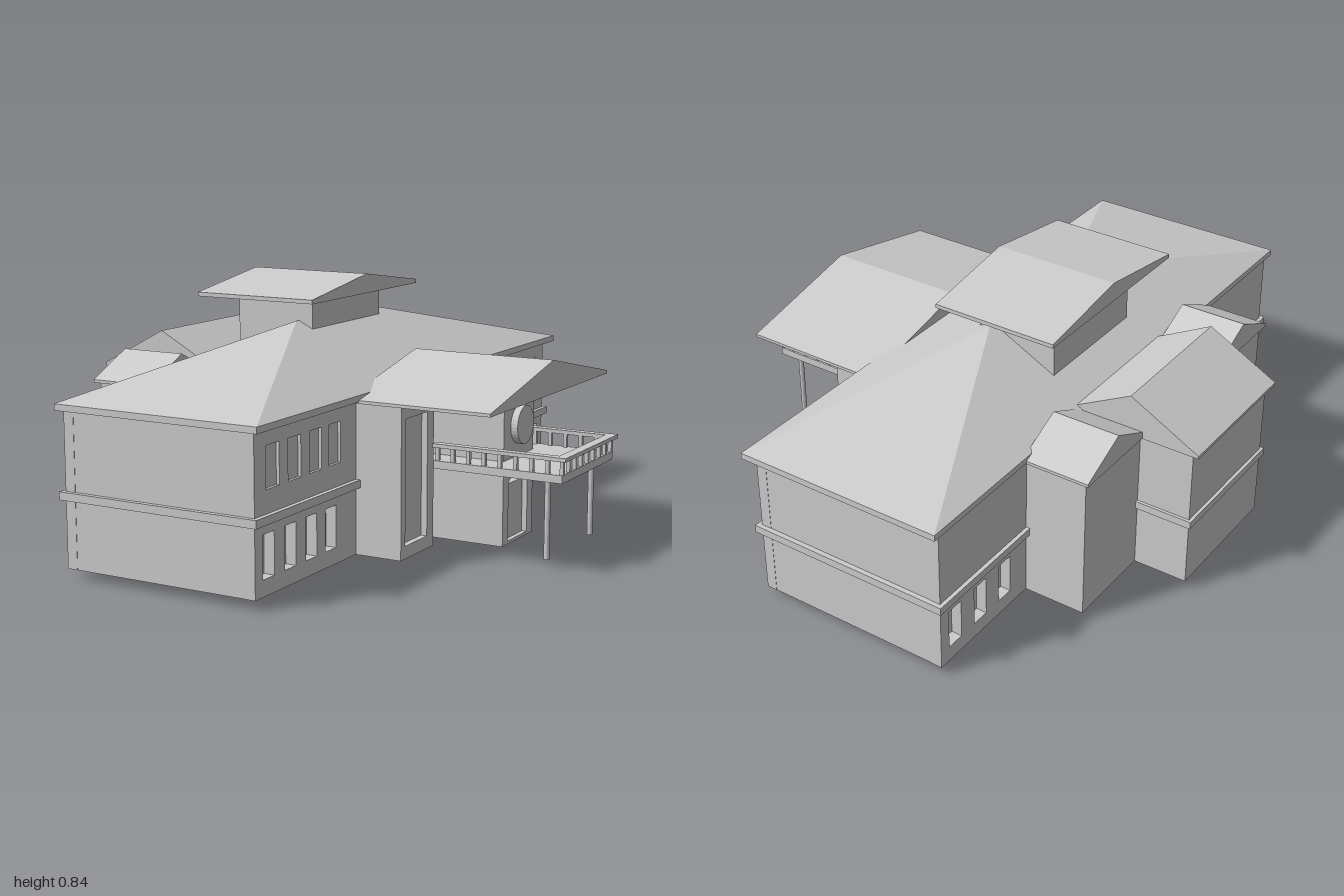
import * as THREE from 'three';
import { ConvexGeometry } from 'three/addons/geometries/ConvexGeometry.js';

const mat = new THREE.MeshStandardMaterial({ color: 0xcccccc, flatShading: true });

export function createModel() {
  const root = new THREE.Group();
  const add = (name, geo, parent = root) => {
    const m = new THREE.Mesh(geo, mat);
    m.name = name;
    parent.add(m);
    return m;
  };
  const group = (name) => {
    const g = new THREE.Group();
    g.name = name;
    root.add(g);
    return g;
  };
  // box given by its limits on each axis
  const box = (name, x0, x1, y0, y1, z0, z1, parent) => {
    const g = new THREE.BoxGeometry(x1 - x0, y1 - y0, z1 - z0);
    g.translate((x0 + x1) / 2, (y0 + y1) / 2, (z0 + z1) / 2);
    return add(name, g, parent);
  };
  // extrude a shape drawn in (-z, y) along x from x0 to x1
  const alongX = (name, shape, x0, x1, parent) => {
    const g = new THREE.ExtrudeGeometry(shape, { depth: x1 - x0, bevelEnabled: false, curveSegments: 12 });
    g.rotateY(Math.PI / 2);
    g.translate(x0, 0, 0);
    return add(name, g, parent);
  };
  const poly = (pts) => new THREE.Shape(pts.map(([a, b]) => new THREE.Vector2(a, b)));
  const rect = (z0, z1, y0, y1) => poly([[-z1, y0], [-z0, y0], [-z0, y1], [-z1, y1]]);
  const wall = (name, x0, x1, outline, holes, parent) => {
    outline.holes.push(...holes);
    return alongX(name, outline, x0, x1, parent);
  };
  const gable = (u0, u1, eave, thick, ridge) =>
    poly([[u0, eave], [u1, eave], [u1, eave + thick], [(u0 + u1) / 2, ridge], [u0, eave + thick]]);

  // foundation slabs
  box('foundation', -0.42, 0.225, 0, 0.015, -0.215, 0.215);
  box('foundationStep', -0.41, 0.215, 0.015, 0.035, -0.205, 0.205);

  // main block: a core with pierced window walls on both long sides
  const main = group('mainBlock');
  box('core', -0.39, 0.2, 0.03, 0.515, -0.969, 0.969, main);
  for (const s of [1, -1]) {
    const win = (z, w, y0, y1) => rect(s * z - w / 2, s * z + w / 2, y0, y1);
    const side = () => (s > 0 ? rect(0, 0.97, 0.03, 0.515) : rect(-0.97, 0, 0.03, 0.515));
    const lower = [0.9, 0.785, 0.67, 0.56].map((z) => win(z, 0.06, 0.08, 0.21));
    const upper = [0.875, 0.76, 0.645, 0.535].map((z) => win(z, 0.068, 0.335, 0.46));
    wall('windowWall', 0.2, 0.235, side(), [...lower, ...upper], main);
    const back = [0.9, 0.775, 0.65].map((z) => win(z, 0.06, 0.08, 0.21));
    wall('rearWindowWall', -0.425, -0.39, side(), back, main);
    for (const z of [0.875, 0.76, 0.645, 0.535])
      box('upperPane', 0.2, 0.225, 0.335, 0.46, s * z - 0.034, s * z + 0.034, main);
  }
  box('stringCourse', -0.438, 0.25, 0.24, 0.265, -0.985, 0.985, main);

  // hipped main roof
  const hip = [];
  for (const z of [-1, 1]) {
    for (const x of [-0.435, 0.265])
      for (const y of [0.51, 0.53]) hip.push(new THREE.Vector3(x, y, z));
    hip.push(new THREE.Vector3(-0.085, 0.705, z * 0.23));
  }
  add('mainRoof', new ConvexGeometry(hip));

  // raised lantern over the ridge
  const lantern = group('lantern');
  box('lanternWalls', -0.31, -0.035, 0.5, 0.78, -0.215, 0.215, lantern);
  alongX('lanternRoof', gable(-0.34, 0.34, 0.777, 0.013, 0.84), -0.385, 0.04, lantern);

  // entrance wing
  const entrance = group('entranceWing');
  for (const s of [1, -1]) {
    const [z0, z1] = s > 0 ? [0.2, 0.41] : [-0.41, -0.2];
    const c = s * 0.312;
    box('sideBay', 0.22, 0.37, 0.03, 0.51, z0, z1, entrance);
    wall('sideBayFace', 0.37, 0.39, rect(z0, z1, 0.03, 0.51), [rect(c - 0.07, c + 0.07, 0.07, 0.46)], entrance);
  }
  box('porchCore', 0.22, 0.545, 0.03, 0.51, -0.11, 0.11, entrance);
  const arch = poly([[-0.07, 0.04], [0.07, 0.04], [0.07, 0.215]]);
  arch.absellipse(0, 0.215, 0.07, 0.042, 0, Math.PI, false);
  wall('porchFace', 0.545, 0.585, rect(-0.11, 0.11, 0.03, 0.51), [arch], entrance);
  box('door', 0.545, 0.57, 0.04, 0.215, -0.065, 0.065, entrance);
  const disc = new THREE.CylinderGeometry(0.061, 0.061, 0.03, 32);
  disc.rotateZ(Math.PI / 2);
  disc.translate(0.593, 0.4, 0);
  add('roundWindow', disc, entrance);
  alongX('entranceRoof', gable(-0.445, 0.445, 0.505, 0.01, 0.61), 0.22, 0.697, entrance);

  // balcony with railing and two posts
  const balcony = group('balcony');
  box('balconyFloor', 0.235, 0.818, 0.275, 0.3, -0.2, 0.2, balcony);
  box('frontRail', 0.8, 0.832, 0.343, 0.355, -0.21, 0.21, balcony);
  for (let i = 0; i <= 8; i++) {
    const z = -0.19 + i * 0.0475;
    box('baluster', 0.808, 0.82, 0.3, 0.345, z - 0.006, z + 0.006, balcony);
  }
  for (const s of [1, -1]) {
    const z = s * 0.195;
    box('sideRail', 0.39, 0.81, 0.343, 0.355, z - 0.014, z + 0.014, balcony);
    for (let i = 0; i < 8; i++) {
      const x = 0.4 + i * 0.0525;
      box('baluster', x - 0.006, x + 0.006, 0.3, 0.345, s * 0.19 - 0.006, s * 0.19 + 0.006, balcony);
    }
    const post = new THREE.CylinderGeometry(0.009, 0.009, 0.245, 12);
    post.translate(0.76, 0.1525, s * 0.17);
    add('balconyPost', post, balcony);
  }

  // rear wing with its cross gable
  const rear = group('rearWing');
  box('rearWalls', -0.81, -0.4, 0.03, 0.515, -0.23, 0.23, rear);
  box('rearStringCourse', -0.82, -0.4, 0.24, 0.265, -0.24, 0.24, rear);
  const rearRoof = new THREE.ExtrudeGeometry(gable(-0.835, -0.365, 0.505, 0.01, 0.64), { depth: 0.49, bevelEnabled: false });
  rearRoof.translate(0, 0, -0.245);
  add('rearRoof', rearRoof, rear);

  // two lower bays flanking the rear wing
  for (const s of [1, -1]) {
    const bay = group(s > 0 ? 'rearBayLeft' : 'rearBayRight');
    const [z0, z1] = s > 0 ? [0.22, 0.535] : [-0.535, -0.22];
    box('bayWalls', -0.63, -0.4, 0.03, 0.515, z0, z1, bay);
    const c = -s * 0.385;
    alongX('bayRoof', gable(c - 0.165, c + 0.165, 0.507, 0.01, 0.595), -0.645, -0.42, bay);
  }
  return root;
}
